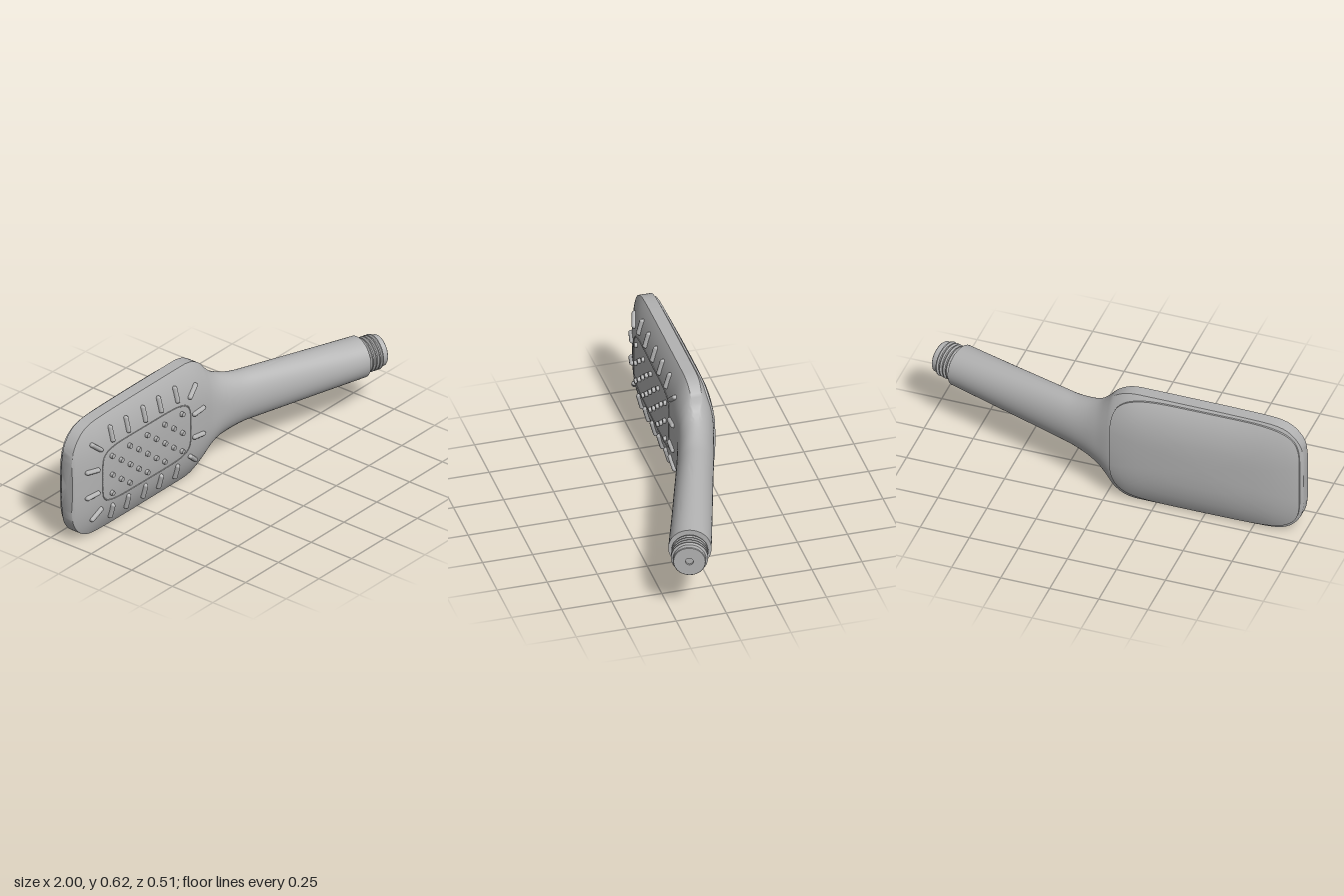
import * as THREE from 'three';
import { toCreasedNormals } from 'three/addons/utils/BufferGeometryUtils.js';

const CY = 0.3125; // height of the long axis
const TILT = 0.302; // handle angle towards the front

// Surface through rows of closed rings, optionally closed at the ends
function loft(rows, capStart, capEnd, crease) {
  const n = rows[0].length, pos = [], idx = [];
  rows.forEach(r => r.forEach(p => pos.push(...p)));
  for (let i = 0; i < rows.length - 1; i++) {
    for (let j = 0; j < n; j++) {
      const a = i * n + j, b = i * n + (j + 1) % n;
      idx.push(a, b, a + n, b, b + n, a + n);
    }
  }
  const cap = (row, flip) => {
    const c = pos.length / 3;
    pos.push(...[0, 1, 2].map(k => rows[row].reduce((s, p) => s + p[k], 0) / n));
    for (let j = 0; j < n; j++) {
      const a = row * n + j, b = row * n + (j + 1) % n;
      if (flip) idx.push(c, b, a); else idx.push(c, a, b);
    }
  };
  if (capStart) cap(0, true);
  if (capEnd) cap(rows.length - 1, false);
  const g = new THREE.BufferGeometry();
  g.setAttribute('position', new THREE.Float32BufferAttribute(pos, 3));
  g.setIndex(idx);
  return toCreasedNormals(g, crease);
}

// Stations: x, half height, front z, rim front z, rim back z, back z, roundness
const STATIONS = [
  [-1, 0.13, -0.117, -0.122, -0.178, -0.183, 0],
  [-0.99, 0.195, -0.108, -0.12, -0.182, -0.194, 0],
  [-0.965, 0.24, -0.099, -0.12, -0.182, -0.203, 0],
  [-0.93, 0.275, -0.088, -0.12, -0.182, -0.212, 0],
  [-0.88, 0.298, -0.076, -0.12, -0.182, -0.222, 0],
  [-0.8, 0.308, -0.065, -0.12, -0.182, -0.233, 0],
  [-0.6, 0.3115, -0.06, -0.12, -0.182, -0.246, 0],
  [-0.4, 0.312, -0.058, -0.12, -0.182, -0.251, 0],
  [-0.2, 0.312, -0.055, -0.12, -0.182, -0.249, 0],
  [-0.13, 0.31, -0.052, -0.12, -0.182, -0.246, 0],
  [-0.08, 0.298, -0.05, -0.12, -0.18, -0.242, 0.03],
  [-0.03, 0.268, -0.048, -0.12, -0.174, -0.236, 0.1],
  [0, 0.235, -0.044, -0.119, -0.163, -0.229, 0.25],
  [0.04, 0.196, -0.033, -0.117, -0.143, -0.217, 0.5],
  [0.08, 0.172, -0.02, -0.112, -0.122, -0.206, 0.75],
  [0.13, 0.153, -0.004, -0.097, -0.1, -0.191, 0.95],
  [0.2, 0.137, 0.019, -0.074, -0.076, -0.17, 1],
  [0.28, 0.132, 0.047, -0.048, -0.05, -0.145, 1],
  [0.42, 0.1255, 0.096, -0.002, -0.004, -0.102, 1],
  [0.64, 0.115, 0.172, 0.07, 0.068, -0.035, 1],
  [0.865, 0.104, 0.252, 0.144, 0.142, 0.034, 1],
];

// Smoothly subdivide the stations
const SUB = 3;
const samples = [];
for (let i = 0; i < STATIONS.length - 1; i++) {
  const at = k => STATIONS[Math.min(Math.max(k, 0), STATIONS.length - 1)];
  for (let s = 0; s < SUB; s++) {
    const t = s / SUB;
    samples.push(STATIONS[i].map((p1, c) => {
      const p2 = at(i + 1)[c], m1 = (p2 - at(i - 1)[c]) / 2, m2 = (at(i + 2)[c] - p1) / 2;
      return p1 + m1 * t + (3 * (p2 - p1) - 2 * m1 - m2) * t * t + (2 * (p1 - p2) + m1 + m2) * t ** 3;
    }));
  }
}
samples.push(STATIONS[STATIONS.length - 1]);

const bulge = (u, k) => Math.pow(Math.max(0, 1 - Math.pow(Math.min(1, Math.abs(u)), 3 - k)), 1 / (1 + k));

// Depth of the head's front or back at a given x and y (y from the axis)
function depth(x, y, back) {
  let i = 0;
  while (i < samples.length - 2 && samples[i + 1][0] < x) i++;
  const a = samples[i], b = samples[i + 1], t = (x - a[0]) / (b[0] - a[0]);
  const [, h, f, rf, rb, bk, k] = a.map((v, c) => v + (b[c] - v) * t);
  return back ? rb + (bk - rb) * bulge(y / h, k) : rf + (f - rf) * bulge(y / h, k);
}

function bodyGeometry() {
  const N = 28;
  const rows = samples.map(([x, h, f, rf, rb, bk, k]) => {
    const ring = [], mid = (rf + rb) / 2;
    // Lean the handle sections until they stand square to its axis
    const lean = THREE.MathUtils.smoothstep(x, 0.3, 0.86) * Math.sin(TILT);
    for (let side = 0; side < 2; side++) {
      for (let j = 0; j <= N; j++) {
        const u = (side ? -1 : 1) * Math.cos(j / N * Math.PI);
        const z = side ? rb + (bk - rb) * bulge(u, k) : rf + (f - rf) * bulge(u, k);
        const d = -(z - mid) * lean;
        ring.push([x + d * Math.cos(TILT), CY + h * u, z + d * Math.sin(TILT)]);
      }
    }
    return ring;
  });
  return loft(rows, true, true, 0.6);
}

// Thin domed cover lying on the back of the head
function coverGeometry() {
  const N = 96, sizes = [0.01, 0.2, 0.4, 0.55, 0.7, 0.8, 0.88, 0.94, 0.98, 1, 1];
  const rows = sizes.map((s, r) => Array.from({ length: N }, (_, j) => {
    const a = j / N * Math.PI * 2, c = Math.cos(a), d = Math.sin(a);
    const x = -0.508 + s * 0.478 * Math.sign(c) * Math.abs(c) ** 0.4;
    const y = s * 0.299 * Math.sign(d) * Math.abs(d) ** 0.4;
    return [x, CY + y, depth(x, y, true) + (r === sizes.length - 1 ? 0.006 : -0.009)];
  }));
  return loft(rows, true, false, 0.6);
}

export function createModel() {
  const group = new THREE.Group();
  const grey = new THREE.MeshStandardMaterial({ color: 0xb3b3b3 });
  grey.name = 'satin grey';
  const add = (geometry, name, parent = group) => {
    const m = new THREE.Mesh(geometry, grey);
    m.name = name;
    parent.add(m);
    return m;
  };

  add(bodyGeometry(), 'headAndHandle');
  add(coverGeometry(), 'backCover');

  // Threaded hose connector along the handle axis
  const profile = [[0.078, -0.02], [0.078, 0.012]];
  for (let i = 0; i < 4; i++) {
    const y = 0.014 + i * 0.02;
    profile.push([0.079, y], [0.089, y + 0.005], [0.089, y + 0.01], [0.079, y + 0.015]);
  }
  profile.push([0.079, 0.113], [0.076, 0.116], [0.019, 0.116], [0.019, 0.106], [0, 0.106]);
  const lathe = new THREE.LatheGeometry(profile.map(p => new THREE.Vector2(...p)), 48);
  const connector = add(toCreasedNormals(lathe, 0.5), 'threadedConnector');
  const axis = new THREE.Vector3(Math.cos(TILT), 0, Math.sin(TILT));
  connector.quaternion.setFromUnitVectors(new THREE.Vector3(0, 1, 0), axis);
  connector.position.set(0.865, CY, 0.143);

  // Place a nozzle on the front face, turned to the surface
  const place = (mesh, x, y, angle) => {
    const e = 0.01;
    const gx = (depth(x + e, y) - depth(x - e, y)) / (2 * e);
    const gy = (depth(x, y + e) - depth(x, y - e)) / (2 * e);
    const c = Math.cos(angle), s = Math.sin(angle);
    const Y = new THREE.Vector3(c, s, gx * c + gy * s).normalize();
    const Z = new THREE.Vector3(-gx, -gy, 1).normalize();
    mesh.quaternion.setFromRotationMatrix(
      new THREE.Matrix4().makeBasis(new THREE.Vector3().crossVectors(Y, Z), Y, Z));
    mesh.position.set(x, CY + y, depth(x, y));
  };

  // Slot nozzles around the edge, mirrored up and down
  const slots = new THREE.Group();
  slots.name = 'slotNozzles';
  group.add(slots);
  const slot = new THREE.CapsuleGeometry(0.012, 0.066, 4, 10).scale(1, 1, 1.4);
  const layout = [-0.749, -0.631, -0.503, -0.385, -0.262].map(x => [x, 0.212, Math.PI / 2]);
  layout.push([-0.861, 0.184, 2.43], [-0.148, 0.184, 0.71], [-0.893, 0.067, 3.03], [-0.118, 0.067, 0.11]);
  for (const [x, y, angle] of layout) {
    for (const m of [1, -1]) place(add(slot, 'slotNozzle', slots), x, y * m, angle * m);
  }

  // Staggered round nozzles in the middle
  const dots = new THREE.Group();
  dots.name = 'roundNozzles';
  group.add(dots);
  const dot = toCreasedNormals(new THREE.CylinderGeometry(0.012, 0.014, 0.03, 14).rotateX(Math.PI / 2), 0.6);
  for (let c = 0; c < 9; c++) {
    for (const y of c % 2 ? [0.053, -0.053] : [0.102, 0, -0.102]) {
      place(add(dot, 'roundNozzle', dots), -0.765 + c * 0.0655, y, Math.PI / 2);
    }
  }

  // Fine seam around the middle spray field
  const seam = [];
  for (let j = 0; j < 80; j++) {
    const a = j / 80 * Math.PI * 2, c = Math.cos(a), s = Math.sin(a);
    const x = -0.5 + 0.327 * Math.sign(c) * Math.abs(c) ** 0.35;
    const y = 0.15 * Math.sign(s) * Math.abs(s) ** 0.35;
    seam.push(new THREE.Vector3(x, CY + y, depth(x, y)));
  }
  add(new THREE.TubeGeometry(new THREE.CatmullRomCurve3(seam, true), 160, 0.003, 6, true), 'sprayFieldSeam');

  return group;
}
